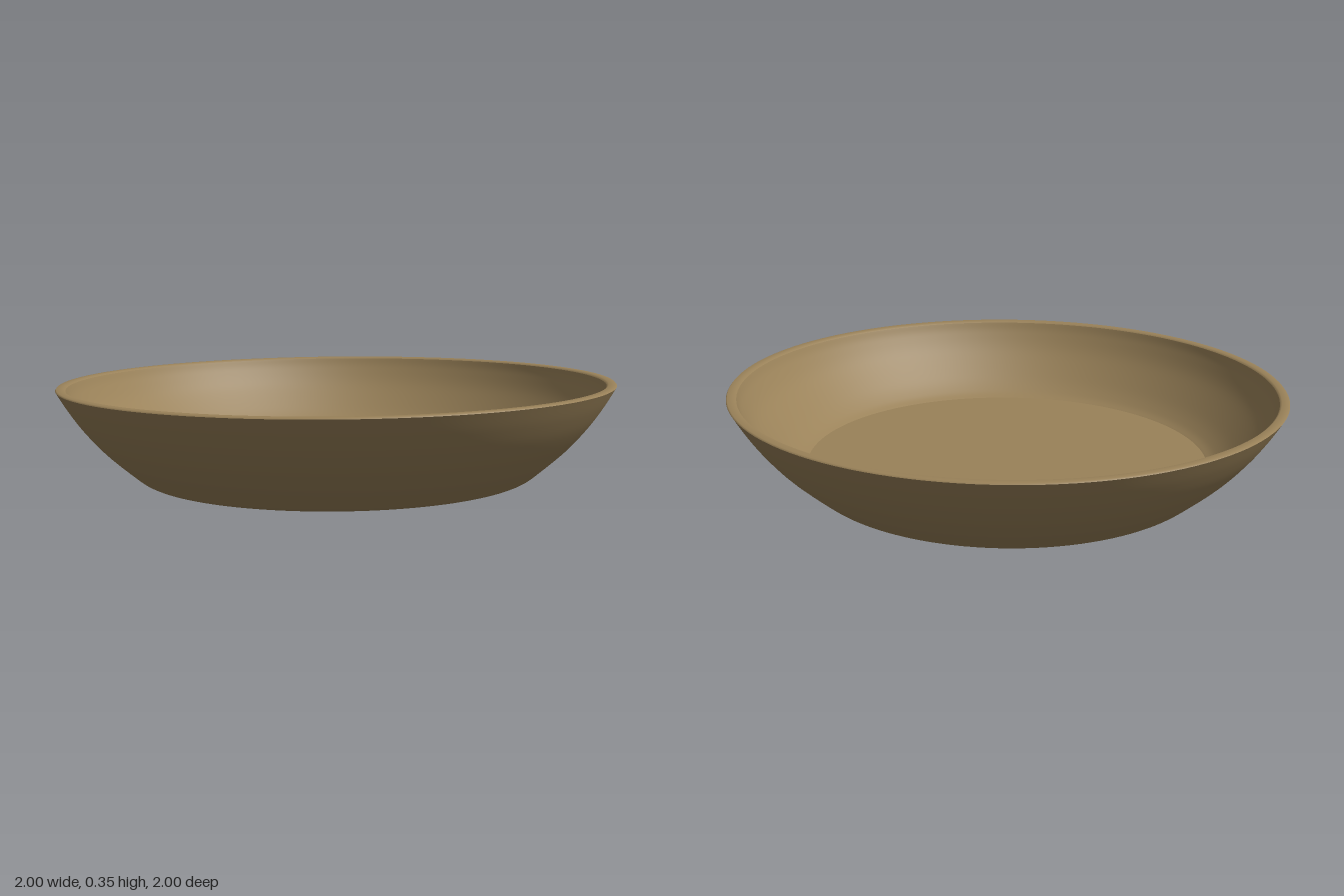
import * as THREE from 'three';

const clay = new THREE.MeshStandardMaterial({ color: 0x9a8259 });
clay.name = 'tan clay';

// Revolves a list of [radius, height] points; profiles run from the underside, out, over the rim and back in
function lathePart(name, points, smooth = true) {
  let profile = points.map(([r, y]) => new THREE.Vector2(r, y));
  if (smooth) profile = new THREE.SplineCurve(profile).getPoints(points.length * 5);
  const mesh = new THREE.Mesh(new THREE.LatheGeometry(profile, 128), clay);
  mesh.name = name;
  return mesh;
}

export function createModel() {
  const group = new THREE.Group();
  group.name = 'shallowDish';
  const dish = new THREE.Group();
  dish.name = 'dish';

  // Recessed underside with a small raised ring in the middle
  dish.add(lathePart('underside', [[0, 0.03], [0.155, 0.03], [0.645, 0.03]], false));
  const ring = new THREE.Mesh(new THREE.TorusGeometry(0.178, 0.018, 12, 64), clay);
  ring.name = 'undersideRing';
  ring.rotation.x = Math.PI / 2;
  ring.position.y = 0.028;
  dish.add(ring);

  // Rounded foot running into the flared outer wall
  dish.add(lathePart('footAndOuterWall', [
    [0.645, 0.03], [0.66, 0.016], [0.68, 0.009], [0.705, 0.014], [0.74, 0.038],
    [0.84, 0.127], [0.91, 0.207], [0.96, 0.278], [0.998, 0.342],
  ]));

  // Narrow flat lip
  dish.add(lathePart('rim', [[0.998, 0.342], [0.994, 0.347], [0.97, 0.347], [0.963, 0.341]], false));

  // Inner wall and flat floor
  dish.add(lathePart('innerWall', [
    [0.963, 0.341], [0.945, 0.3], [0.9, 0.228], [0.82, 0.138], [0.765, 0.09], [0.73, 0.07],
  ]));
  dish.add(lathePart('floor', [[0.73, 0.07], [0, 0.07]], false));

  // The dish leans very slightly
  dish.rotation.set(-0.004, 0, 0.009);
  group.add(dish);
  return group;
}
